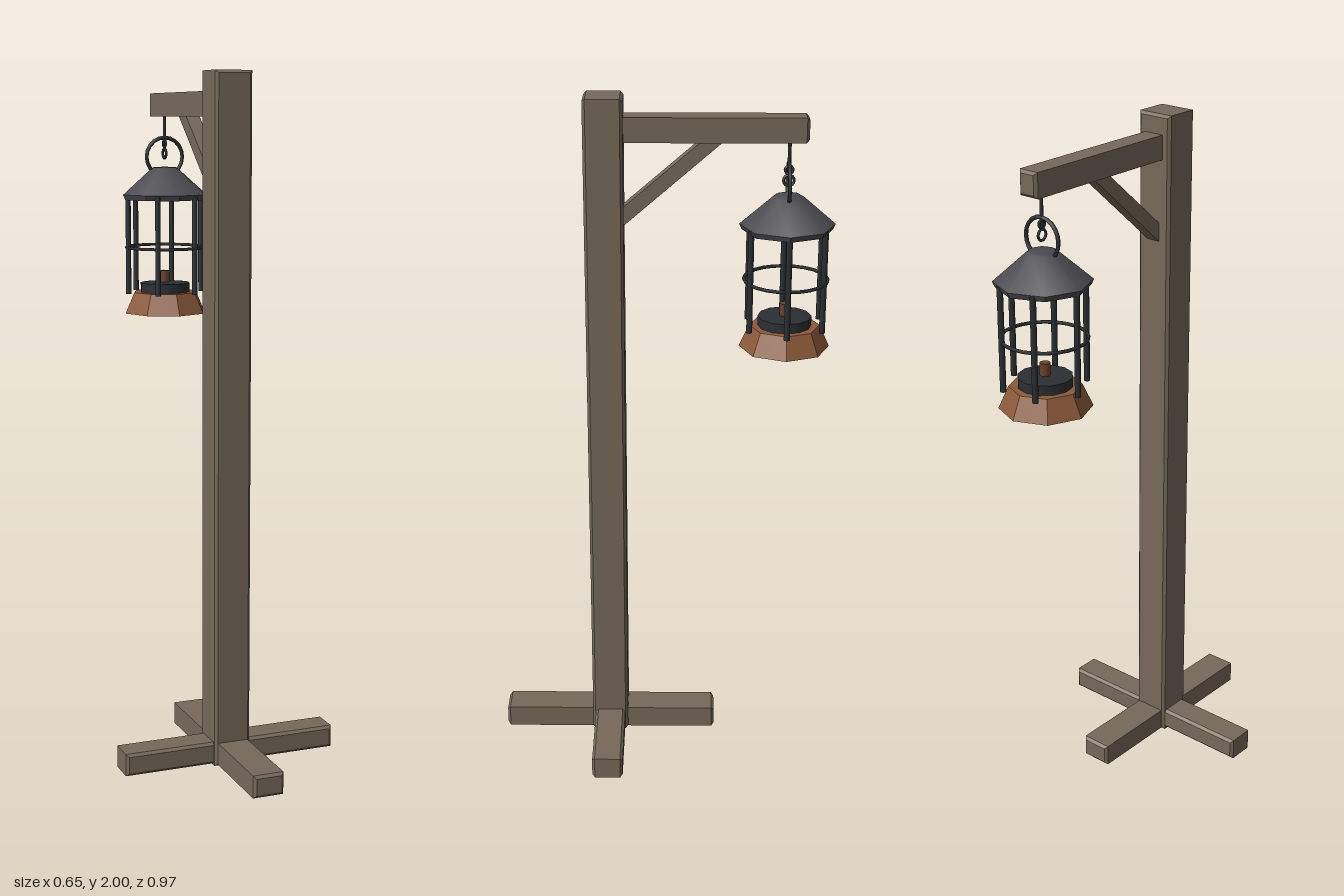
import * as THREE from 'three';
import { toCreasedNormals } from 'three/addons/utils/BufferGeometryUtils.js';

const POST_Z = 0.16;      // centre of the post and its feet
const LAMP_Z = -0.352;    // centre line of the lantern

export function createModel() {
  const model = new THREE.Group();
  model.name = 'lanternPost';

  const mat = (name, color) => {
    const m = new THREE.MeshStandardMaterial({ color });
    m.name = name;
    return m;
  };
  const wood = mat('weatheredWood', 0x756959);
  const roofMetal = mat('roofMetal', 0x4b4a50);
  const iron = mat('darkIron', 0x2b2f33);
  const copper = mat('copper', 0x8c5a3a);
  const wickBrown = mat('wickBrown', 0x6a4128);

  const add = (parent, name, geometry, material, x = 0, y = 0, z = 0) => {
    const mesh = new THREE.Mesh(geometry, material);
    mesh.name = name;
    mesh.position.set(x, y, z);
    parent.add(mesh);
    return mesh;
  };

  // Timber with a small chamfer on every edge, centred on the origin
  const timber = (w, h, d, b = 0.008) => {
    const x = w / 2 - b, y = h / 2 - b;
    const shape = new THREE.Shape([
      new THREE.Vector2(-x, -y), new THREE.Vector2(x, -y),
      new THREE.Vector2(x, y), new THREE.Vector2(-x, y),
    ]);
    const g = new THREE.ExtrudeGeometry(shape, {
      depth: d - 2 * b, bevelEnabled: true, bevelSegments: 1, bevelSize: b, bevelThickness: b,
    });
    return g.translate(0, 0, -d / 2 + b);
  };

  // Turned part from [radius, height] pairs, listed from bottom to top
  const turned = (points, sides, crease = 0.68) => toCreasedNormals(
    new THREE.LatheGeometry(points.map(([r, y]) => new THREE.Vector2(r, y)), sides), crease);

  // Wooden stand
  const stand = new THREE.Group();
  stand.name = 'stand';
  model.add(stand);
  add(stand, 'post', timber(0.11, 2, 0.11), wood, 0, 1, POST_Z);
  add(stand, 'sideFeet', timber(0.65, 0.066, 0.092), wood, 0, 0.038, POST_Z);
  add(stand, 'frontBackFeet', timber(0.092, 0.066, 0.65), wood, 0, 0.038, POST_Z);
  add(stand, 'arm', timber(0.062, 0.07, 0.53), wood, 0, 1.91, -0.139);

  // Diagonal brace, cut flush against the post and the arm
  const braceShape = new THREE.Shape([
    new THREE.Vector2(0.12, 1.626), new THREE.Vector2(0.12, 1.68),
    new THREE.Vector2(-0.122, 1.888), new THREE.Vector2(-0.183, 1.888),
  ]);
  const brace = new THREE.ExtrudeGeometry(braceShape, { depth: 0.042, bevelEnabled: false });
  brace.translate(0, 0, -0.021).rotateY(-Math.PI / 2);
  add(stand, 'brace', brace, wood);

  // Lantern
  const lantern = new THREE.Group();
  lantern.name = 'lantern';
  lantern.position.z = LAMP_Z;
  model.add(lantern);

  // Hook and carrying ring
  add(lantern, 'hookRod', new THREE.CylinderGeometry(0.005, 0.005, 0.1, 8), iron, 0, 1.835, 0);
  const hookLoops = [[1.794, 0.011], [1.764, 0.015]];
  for (const [y, r] of hookLoops) {
    add(lantern, 'hookLoop', new THREE.TorusGeometry(r, 0.004, 6, 14), iron, 0, y, 0).rotation.y = Math.PI / 2;
  }
  add(lantern, 'carryingRing', new THREE.TorusGeometry(0.058, 0.006, 6, 20), iron, 0, 1.754, 0);

  // Eight-sided roof with a short rim
  add(lantern, 'roof', turned([
    [0, 1.624], [0.128, 1.624], [0.135, 1.64], [0.045, 1.717], [0.036, 1.722], [0, 1.724],
  ], 8), roofMetal);

  // Cage of six rods with a hoop around the middle
  for (let i = 0; i < 6; i++) {
    const a = (i * Math.PI) / 3;
    add(lantern, 'cageRod', new THREE.CylinderGeometry(0.0085, 0.0085, 0.3, 8), iron,
      0.119 * Math.cos(a), 1.487, 0.119 * Math.sin(a));
  }
  const hoop = new THREE.TorusGeometry(0.119, 0.005, 6, 24).rotateX(Math.PI / 2);
  add(lantern, 'cageHoop', hoop, iron, 0, 1.478, 0);

  // Flared base, burner and wick
  add(lantern, 'lanternBase', turned([
    [0, 1.276], [0.13, 1.276], [0.101, 1.34], [0, 1.34],
  ], 8, 0.5), copper);
  add(lantern, 'burner', turned([
    [0.077, 1.335], [0.077, 1.368], [0.055, 1.37], [0, 1.37],
  ], 12, 0.6), iron);
  add(lantern, 'wick', new THREE.CylinderGeometry(0.015, 0.015, 0.04, 8), wickBrown, 0, 1.386, 0);

  return model;
}
